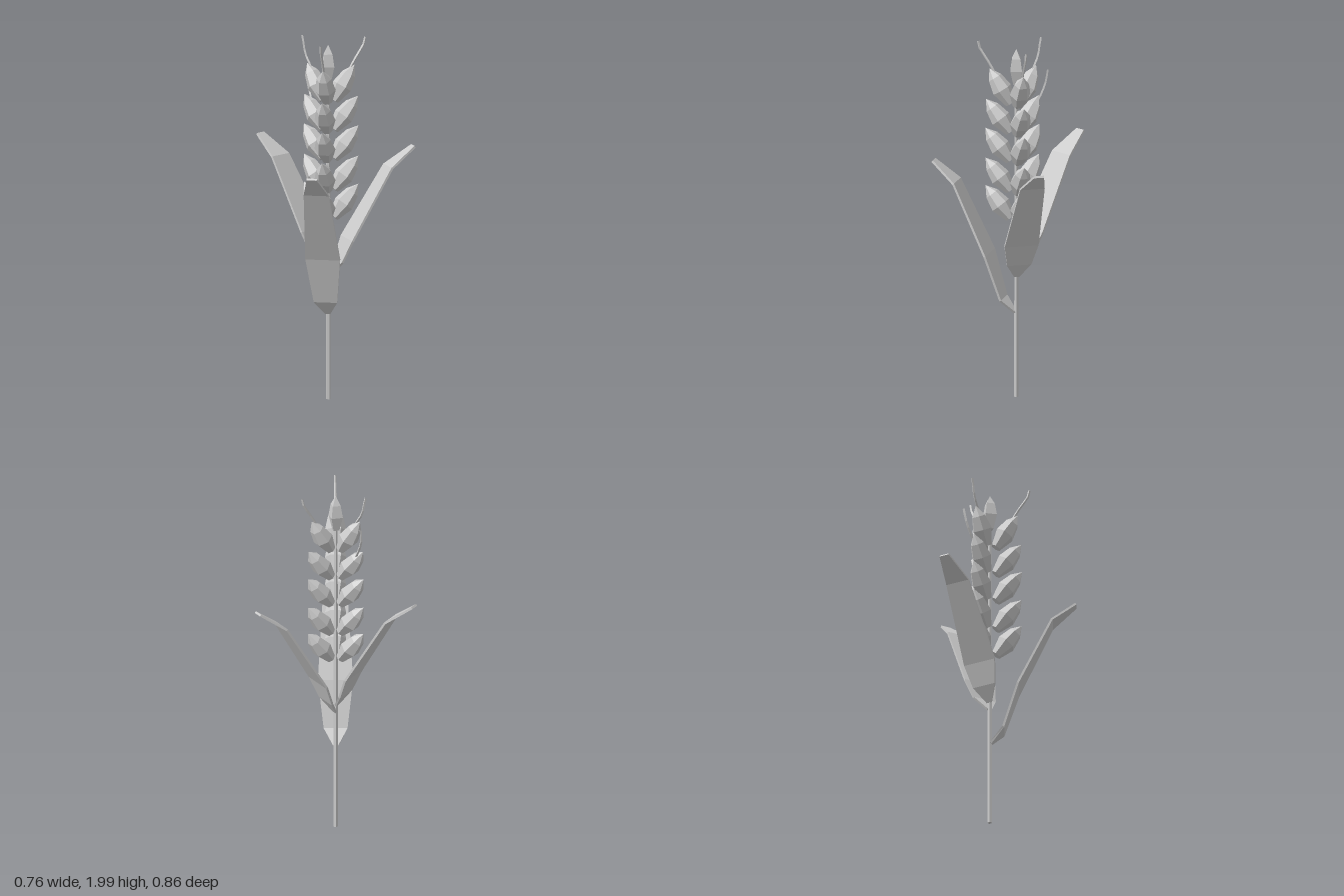
import * as THREE from 'three';

const material = new THREE.MeshStandardMaterial({ color: 0xcccccc, flatShading: true });

function addMesh(parent, name, geometry) {
  const mesh = new THREE.Mesh(geometry, material);
  mesh.name = name;
  parent.add(mesh);
  return mesh;
}

// Faceted kernel: blunt base at the origin, pointed tip along +y
function kernelGeometry(length, radius, sides) {
  const profile = [[0, 0], [0.5, 0], [1, 0.4], [0.7, 0.74], [0, 1]]
    .map(([r, t]) => new THREE.Vector2(r * radius, t * length));
  return new THREE.LatheGeometry(profile, sides);
}

// Thin folded blade swept through stations [radius, height, half width]
function leafGeometry(stations) {
  const half = 0.006, positions = [], index = [];
  stations.forEach(([x, y, w], i) => {
    const a = stations[Math.max(i - 1, 0)];
    const b = stations[Math.min(i + 1, stations.length - 1)];
    const n = new THREE.Vector2(a[1] - b[1], b[0] - a[0]).setLength(half);
    positions.push(x + n.x, y + n.y, -w, x + n.x, y + n.y, w,
      x - n.x, y - n.y, w, x - n.x, y - n.y, -w);
  });
  for (let i = 0; i < stations.length - 1; i++) {
    for (let k = 0; k < 4; k++) {
      const a = i * 4 + k, b = i * 4 + (k + 1) % 4;
      index.push(a, b, b + 4, a, b + 4, a + 4);
    }
  }
  const e = (stations.length - 1) * 4;
  index.push(0, 2, 1, 0, 3, 2, e, e + 1, e + 2, e, e + 2, e + 3);
  const geometry = new THREE.BufferGeometry();
  geometry.setAttribute('position', new THREE.Float32BufferAttribute(positions, 3));
  geometry.setIndex(index);
  const flat = geometry.toNonIndexed();
  flat.computeVertexNormals();
  return flat;
}

// Bristle following [radius, height, sideways] points
function awnGeometry(points) {
  const path = new THREE.CatmullRomCurve3(points.map((p) => new THREE.Vector3(...p)));
  return new THREE.TubeGeometry(path, 6, 0.007, 4);
}

export function createModel() {
  const model = new THREE.Group();
  model.name = 'grainStalk';
  const plant = new THREE.Group();
  plant.name = 'plant';
  plant.position.set(0.11, 0, 0.013);
  model.add(plant);

  // Stem and top kernel
  addMesh(plant, 'stem', new THREE.CylinderGeometry(0.011, 0.013, 1.78, 5)).position.y = 0.89;
  addMesh(plant, 'topKernel', kernelGeometry(0.2, 0.045, 4)).position.y = 1.76;

  const kernel = kernelGeometry(0.225, 0.058, 6);
  const rows = [[1.005, 0.68], [1.16, 0.68], [1.33, 0.69], [1.49, 0.67], [1.65, 0.56]];
  const longLeaf = [[0.005, 0.475, 0.014], [0.073, 0.55, 0.065], [0.153, 0.8, 0.096],
    [0.337, 1.19, 0.069], [0.467, 1.3, 0.028]];
  const shortLeaf = [[0.005, 0.72, 0.014], [0.06, 0.8, 0.068], [0.11, 0.92, 0.095],
    [0.345, 1.305, 0.069], [0.49, 1.41, 0.028]];

  // Three sides, each with a column of kernels, a bristle and a leaf
  const sides = [
    { name: 'right', angle: Math.PI, leaf: shortLeaf, drop: 0, reach: 0.188 },
    { name: 'back', angle: Math.PI / 3, leaf: shortLeaf, drop: 0.04, reach: 0.213 },
    { name: 'front', angle: -Math.PI / 3, leaf: longLeaf, drop: 0, reach: 0.215 },
  ];
  for (const { name, angle, leaf, drop, reach } of sides) {
    const side = new THREE.Group();
    side.name = name + 'Side';
    side.rotation.y = angle;
    plant.add(side);

    rows.forEach(([y, tilt], i) => {
      const mesh = addMesh(side, `${name}Kernel${i + 1}`, kernel);
      mesh.position.set(0.032, y, 0);
      mesh.rotation.z = -tilt;
      mesh.scale.x = 0.95;
    });

    addMesh(side, name + 'Awn', awnGeometry([[0.1, 1.77, 0], [0.135, 1.84, 0],
      [0.165, 1.89, 0], [reach - 0.01, 1.95, 0], [reach, 1.99, 0]]));
    addMesh(side, name + 'Leaf', leafGeometry(leaf)).position.y = -drop;

    // Extra lower bristle on one column
    if (name === 'right') {
      addMesh(side, 'lowerAwn', awnGeometry([[0.12, 1.61, 0.01], [0.15, 1.66, 0.025],
        [0.182, 1.74, 0.04], [0.187, 1.82, 0.055]]));
    }
  }
  return model;
}
